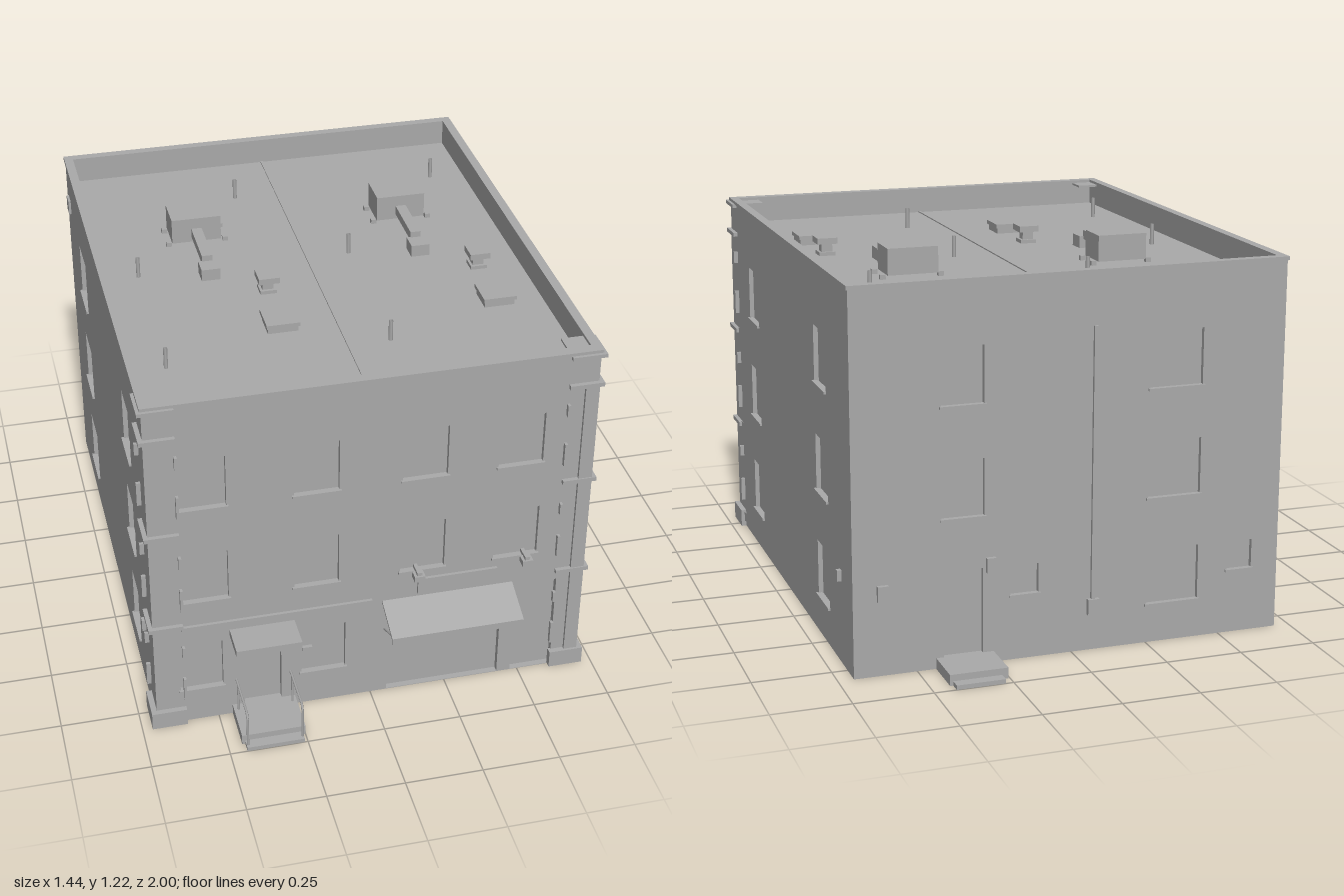
import * as THREE from 'three';

const concrete = new THREE.MeshStandardMaterial({ color: 0xaaaaaa, side: THREE.DoubleSide });
concrete.name = 'concrete grey';

const X = 0.7, ZF = 0.815, ZB = -0.825, TOP = 1.2, ROOF = 1.125;
// vertical extent of the windows on the three floors
const FLOORS = [[0.127, 0.307], [0.476, 0.658], [0.827, 1.008]];

function add(parent, name, geo) {
  const mesh = new THREE.Mesh(geo, concrete);
  mesh.name = name;
  parent.add(mesh);
  return mesh;
}

// box given by its limits
function box(parent, name, x0, x1, y0, y1, z0, z1) {
  const geo = new THREE.BoxGeometry(x1 - x0, y1 - y0, z1 - z0);
  geo.translate((x0 + x1) / 2, (y0 + y1) / 2, (z0 + z1) / 2);
  return add(parent, name, geo);
}

function rod(parent, name, a, b, r) {
  const path = new THREE.LineCurve3(new THREE.Vector3(...a), new THREE.Vector3(...b));
  return add(parent, name, new THREE.TubeGeometry(path, 1, r, 6, false));
}

function rect(Type, x0, x1, y0, y1) {
  const s = new Type();
  s.moveTo(x0, y0); s.lineTo(x1, y0); s.lineTo(x1, y1); s.lineTo(x0, y1); s.closePath();
  return s;
}

// flat triangular plate
function triangle(parent, name, points) {
  const geo = new THREE.BufferGeometry().setFromPoints(points.map(p => new THREE.Vector3(...p)));
  geo.computeVertexNormals();
  return add(parent, name, geo);
}

// wall sheet facing local +z, with a recessed panel behind each opening
function wall(parent, name, u0, u1, openings) {
  const group = new THREE.Group();
  group.name = name;
  const shape = rect(THREE.Shape, u0, u1, 0, TOP);
  for (const o of openings) {
    const [a, b, c, d] = o.r;
    const depth = o.depth ?? 0.015;
    shape.holes.push(rect(THREE.Path, a, b, c, d));
    const recess = box(group, o.name, a, b, c, d, -depth, 0);
    const index = Array.from(recess.geometry.index.array);
    index.splice(24, 6); // leave the front open
    recess.geometry.setIndex(index);
    recess.geometry.clearGroups();
    if (o.name === 'window') box(group, 'windowSill', a - 0.006, b + 0.006, c - 0.006, c + 0.002, -0.01, 0.008);
  }
  add(group, name + 'Face', new THREE.ShapeGeometry(shape));
  parent.add(group);
  return group;
}

const windows = (spans, floors) =>
  floors.flatMap(f => spans.map(([a, b]) => ({ name: 'window', r: [a, b, f[0], f[1]] })));

function buildWalls(g) {
  const front = wall(g, 'frontWall', -X, X, [
    ...windows([[-0.6, -0.457], [-0.25, -0.108], [0.09, 0.233], [0.395, 0.538]], FLOORS.slice(1)),
    ...windows([[-0.62, -0.482], [-0.229, -0.085]], [FLOORS[0]]),
    { name: 'frontDoor', r: [-0.415, -0.294, 0.035, 0.296], depth: 0.02 },
    { name: 'garageDoor', r: [0.054, 0.43, 0.002, 0.295], depth: 0.02 },
    { name: 'serviceDoor', r: [0.475, 0.614, 0.002, 0.354], depth: 0.02 },
  ]);
  front.position.z = ZF;

  const back = wall(g, 'backWall', -X, X, [
    ...windows([[-0.42, -0.285]], FLOORS.slice(1)),
    ...windows([[0.25, 0.425]], FLOORS),
    ...windows([[-0.2, -0.11], [0.525, 0.61]], [[0.21, 0.305]]),
    { name: 'backDoor', r: [-0.415, -0.29, 0.035, 0.31] },
  ]);
  back.rotation.y = Math.PI;
  back.position.z = ZB;

  for (const s of [-1, 1]) {
    const spans = [[0.395, 0.535], [-0.545, -0.4]].map(([a, b]) => s > 0 ? [-b, -a] : [a, b]);
    const side = wall(g, s > 0 ? 'leftWall' : 'rightWall', s > 0 ? -ZF : ZB, s > 0 ? -ZB : ZF, windows(spans, FLOORS));
    side.rotation.y = s * Math.PI / 2;
    side.position.x = s * X;
  }
}

function buildRoof(g) {
  box(g, 'roofDeck', -0.69, 0.69, ROOF - 0.005, ROOF, ZB + 0.01, ZF - 0.01);
  // parapet lining and its cap, both as rings
  for (const [name, o, y0, h] of [['parapet', 0, ROOF, 0.075], ['parapetCap', 0.005, TOP, 0.012]]) {
    const ring = rect(THREE.Shape, -X - o, X + o, -ZF - o, -ZB + o);
    ring.holes.push(rect(THREE.Path, -0.675, 0.675, -0.785, 0.8));
    const geo = new THREE.ExtrudeGeometry(ring, { depth: h, bevelEnabled: false });
    geo.rotateX(-Math.PI / 2).translate(0, y0, 0);
    add(g, name, geo);
  }
  box(g, 'roofSeam', -0.004, 0.004, ROOF, ROOF + 0.004, -0.8, 0.785);

  for (const dx of [0, 0.705]) {
    // air unit on feet, with duct and outlet box
    box(g, 'airUnit', dx - 0.42, dx - 0.255, ROOF + 0.012, 1.222, -0.37, -0.255);
    for (const x of [-0.43, -0.24]) for (const z of [-0.36, -0.265])
      box(g, 'airUnitFoot', dx + x - 0.009, dx + x + 0.009, ROOF, ROOF + 0.015, z - 0.008, z + 0.008);
    box(g, 'duct', dx - 0.355, dx - 0.32, 1.155, 1.185, -0.255, -0.065);
    box(g, 'ductOutlet', dx - 0.367, dx - 0.305, ROOF, 1.165, -0.07, -0.007);
    // capped vent and low skylight
    box(g, 'ventStack', dx - 0.192, dx - 0.155, ROOF, 1.17, 0.078, 0.112);
    box(g, 'ventBase', dx - 0.2, dx - 0.146, ROOF, ROOF + 0.012, 0.068, 0.122);
    box(g, 'ventCap', dx - 0.206, dx - 0.138, 1.165, 1.185, 0.06, 0.13);
    box(g, 'skylightCurb', dx - 0.228, dx - 0.13, ROOF, 1.145, 0.272, 0.363);
    box(g, 'skylight', dx - 0.233, dx - 0.125, 1.145, 1.158, 0.265, 0.37);
    for (const [x, z] of [[-0.148, -0.55], [-0.563, -0.083], [-0.57, 0.482]])
      rod(g, 'ventPipe', [dx + x, ROOF, z], [dx + x, 1.195, z], 0.007);
  }
}

// corner trim, mirrored to both front corners
function buildCorners(g) {
  for (const s of [-1, 1]) {
    const corner = new THREE.Group();
    corner.name = s > 0 ? 'leftCorner' : 'rightCorner';
    const bx = (name, x0, x1, ...r) => box(corner, name, Math.min(s * x0, s * x1), Math.max(s * x0, s * x1), ...r);
    const band = (name, y0, y1, out) => {
      bx(name, 0.605, X + out, y0, y1, ZF - 0.005, ZF + out);
      bx(name, X - 0.005, X + out, y0, y1, 0.715, ZF + out);
    };
    band('cornerBase', 0, 0.06, 0.018);
    for (const y of [0.384, 0.735, 1.086]) band('cornerBand', y, y + 0.014, 0.014);
    band('cornerCornice', 1.19, 1.202, 0.015);
    for (const [y0, y1] of [[0.1, 0.182], [0.27, 0.308], [0.455, 0.535], [0.62, 0.66], [0.806, 0.887], [0.99, 1.03]]) {
      bx('cornerStrip', 0.602, 0.611, y0, y1, ZF, ZF + 0.014);
      bx('cornerStrip', X, 0.714, y0, y1, 0.718, 0.728);
    }
    bx('cornerPad', 0.605, 0.675, 1.196, 1.203, 0.715, 0.785);
    g.add(corner);
  }
  box(g, 'cornerPilaster', 0.656, X, 0.06, 1.09, ZF, ZF + 0.01);
  for (const y of [0.06, 0.408, 0.76])
    triangle(g, 'bandFin', [[0.706, y - 0.043, 0.72], [0.706, y, 0.54], [0.706, y - 0.006, 0.72]]);
  triangle(g, 'bandFin', [[-0.605, 0.012, 0.823], [-0.46, 0.035, 0.823], [-0.605, 0.035, 0.823]]);
}

function buildFront(g) {
  box(g, 'stringCourse', -0.61, 0, 0.373, 0.386, ZF, ZF + 0.01);
  box(g, 'signBoard', 0.148, 0.408, 0.385, 0.442, ZF, ZF + 0.01);
  box(g, 'wallPlate', -0.227, -0.195, 0.22, 0.236, ZF, ZF + 0.012);
  // sloped awning with struts
  const profile = new THREE.Shape();
  [[0, 0.37], [0.13, 0.318], [0.13, 0.295], [0.124, 0.295], [0.124, 0.312], [0, 0.362]]
    .forEach(([z, y], i) => i ? profile.lineTo(-z, y) : profile.moveTo(-z, y));
  profile.closePath();
  const awning = new THREE.ExtrudeGeometry(profile, { depth: 0.43, bevelEnabled: false });
  awning.rotateY(Math.PI / 2).translate(0.034, 0, ZF);
  add(g, 'awning', awning);
  for (const x of [0.043, 0.455]) rod(g, 'awningStrut', [x, 0.255, ZF], [x, 0.315, ZF + 0.125], 0.003);
  // entrance canopy, steps and railings
  box(g, 'entranceCanopy', -0.458, -0.25, 0.322, 0.346, ZF, 0.925);
  for (const x of [-0.452, -0.267]) box(g, 'canopyBracket', x, x + 0.012, 0.292, 0.322, ZF, ZF + 0.03);
  box(g, 'entranceLanding', -0.455, -0.25, 0, 0.035, ZF, 0.965);
  box(g, 'entranceStep', -0.445, -0.26, 0, 0.014, 0.965, 1);
  for (const x of [-0.44, -0.264]) {
    rod(g, 'handrail', [x, 0.138, ZF], [x, 0.138, 0.975], 0.004);
    rod(g, 'handrailEnd', [x, 0.138, 0.975], [x, 0.12, 0.985], 0.004);
    rod(g, 'handrailPost', [x, 0.12, 0.985], [x, 0, 0.985], 0.004);
    rod(g, 'handrailPost', [x, 0.138, 0.84], [x, 0.03, 0.84], 0.004);
  }
  // wall lamps
  for (const x of [0.138, 0.49]) {
    box(g, 'lampArm', x - 0.006, x + 0.006, 0.488, 0.5, ZF, 0.85);
    box(g, 'lampHead', x - 0.017, x + 0.017, 0.475, 0.495, 0.845, 0.878);
    box(g, 'lampCap', x - 0.008, x + 0.008, 0.495, 0.506, 0.85, 0.872);
  }
}

function buildBackAndSides(g) {
  box(g, 'backLanding', 0.255, 0.44, 0, 0.035, -0.965, ZB);
  box(g, 'backStep', 0.275, 0.43, 0, 0.014, -1, -0.965);
  box(g, 'drainPipe', -0.075, -0.062, 0.16, 1.04, ZB - 0.01, ZB);
  box(g, 'drainBox', -0.088, -0.05, 0.118, 0.17, ZB - 0.016, ZB);
  box(g, 'meterBox', 0.59, 0.625, 0.24, 0.29, ZB - 0.014, ZB);
  box(g, 'meterBox', 0.25, 0.28, 0.295, 0.342, ZB - 0.014, ZB);
  box(g, 'sideBox', X, X + 0.014, 0.27, 0.305, -0.697, -0.68);
  box(g, 'sideBox', -X - 0.014, -X, 0.28, 0.32, 0.66, 0.68);
  box(g, 'sideBox', -X - 0.008, -X, 1.03, 1.08, -0.79, -0.74);
}

export function createModel() {
  const model = new THREE.Group();
  model.name = 'building';
  for (const [name, build] of [['walls', buildWalls], ['roof', buildRoof], ['corners', buildCorners],
    ['frontDetails', buildFront], ['backAndSideDetails', buildBackAndSides]]) {
    const part = new THREE.Group();
    part.name = name;
    build(part);
    model.add(part);
  }
  return model;
}
